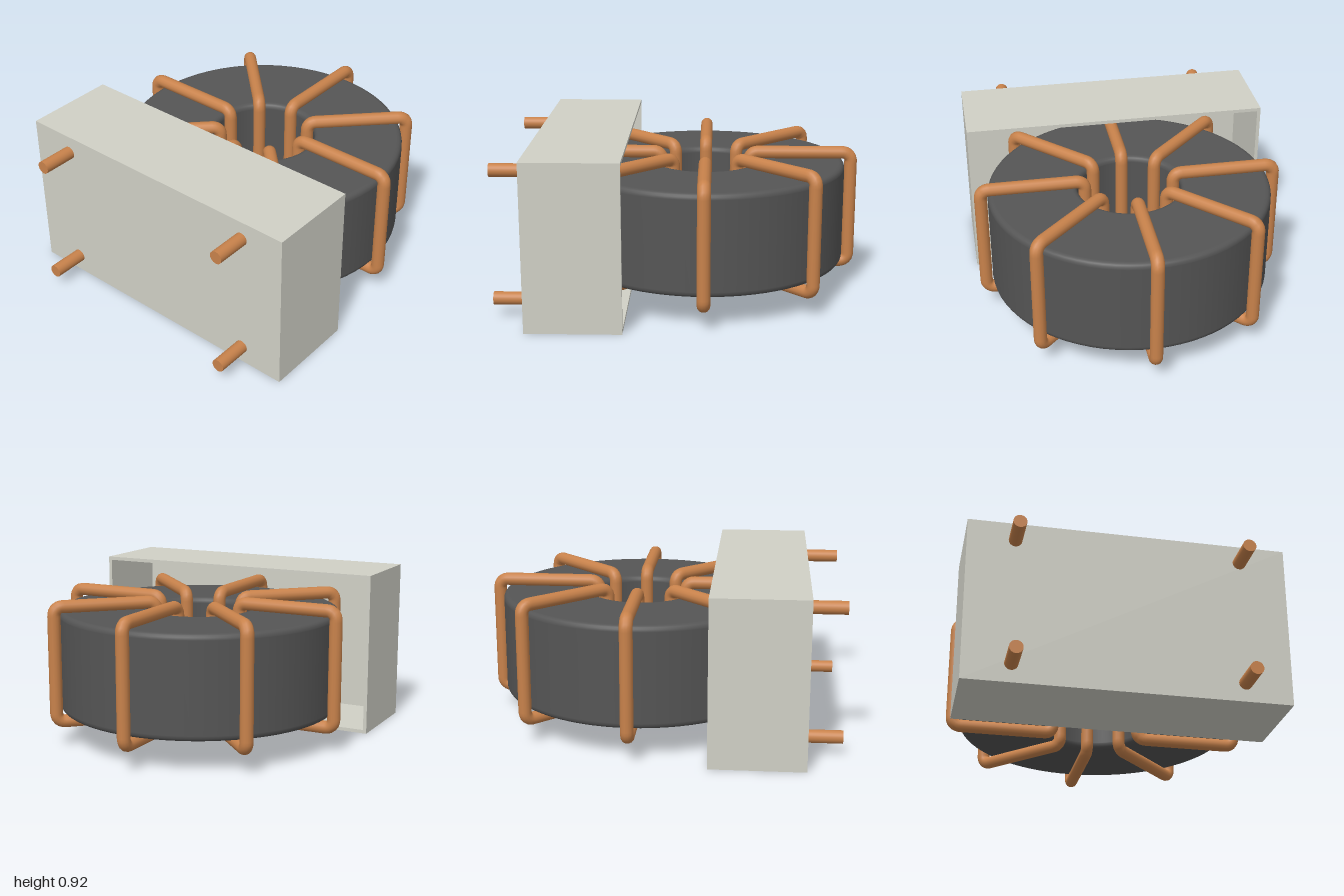
import * as THREE from 'three';

const copper = new THREE.MeshStandardMaterial({ color: 0xc8824b });
const ferrite = new THREE.MeshStandardMaterial({ color: 0x555555 });
const plastic = new THREE.MeshStandardMaterial({ color: 0xd0d0c6 });

// Closed outline of a rectangle with round corners, counter-clockwise
function roundedRect(x0, y0, x1, y1, r, steps) {
  const pts = [];
  const corners = [[x1 - r, y0 + r, -90], [x1 - r, y1 - r, 0], [x0 + r, y1 - r, 90], [x0 + r, y0 + r, 180]];
  const e = 0.004; // extra point on each side of an arc keeps the flats shaded flat
  for (const [cx, cy, start] of corners) {
    const a0 = THREE.MathUtils.degToRad(start), a1 = a0 + Math.PI / 2;
    const at = a => new THREE.Vector2(cx + r * Math.cos(a), cy + r * Math.sin(a));
    pts.push(at(a0).add(new THREE.Vector2(Math.sin(a0), -Math.cos(a0)).multiplyScalar(e)));
    for (let i = 0; i <= steps; i++) pts.push(at(a0 + (a1 - a0) * i / steps));
    pts.push(at(a1).add(new THREE.Vector2(-Math.sin(a1), Math.cos(a1)).multiplyScalar(e)));
  }
  pts.push(pts[0].clone());
  return pts;
}

function add(parent, name, geometry, material, x = 0, y = 0, z = 0) {
  const mesh = new THREE.Mesh(geometry, material);
  mesh.name = name;
  mesh.position.set(x, y, z);
  parent.add(mesh);
  return mesh;
}

export function createModel() {
  const model = new THREE.Group();
  model.name = 'toroidalInductor';

  // Ring core lying flat, with its windings
  const coil = new THREE.Group();
  coil.name = 'coil';
  coil.position.set(0, 0.46, -0.135);
  model.add(coil);
  add(coil, 'core', new THREE.LatheGeometry(roundedRect(0.29, -0.282, 0.79, 0.282, 0.028, 4), 72), ferrite);

  // Eight wire loops around the core section
  const path = new THREE.CurvePath();
  const outline = roundedRect(0.25, -0.323, 0.829, 0.323, 0.045, 5)
    .map(p => new THREE.Vector3(p.x, p.y, 0));
  for (let i = 0; i < outline.length - 1; i++) path.add(new THREE.LineCurve3(outline[i], outline[i + 1]));
  const loop = new THREE.TubeGeometry(path, 180, 0.036, 14, true);
  for (let i = 0; i < 8; i++) {
    add(coil, 'winding', loop, copper).rotation.y = i * Math.PI / 4;
  }

  // Housing: four walls open to the rear, closed by a front panel
  const w = 0.865, h = 0.92, t = 0.02;
  const housing = new THREE.Group();
  housing.name = 'housing';
  model.add(housing);
  const frame = new THREE.Shape([[-w, 0], [w, 0], [w, h], [-w, h]].map(p => new THREE.Vector2(...p)));
  frame.holes.push(new THREE.Path(
    [[-w + t, t], [-w + t, h - t], [w - t, h - t], [w - t, t]].map(p => new THREE.Vector2(...p))));
  add(housing, 'walls', new THREE.ExtrudeGeometry(frame, { depth: 0.5, bevelEnabled: false }), plastic, 0, 0, 0.287);
  add(housing, 'frontPanel', new THREE.BoxGeometry(2 * w, h, t), plastic, 0, h / 2, 0.797);

  // Four terminal pins
  const pin = new THREE.CylinderGeometry(0.036, 0.036, 0.21, 24).rotateX(Math.PI / 2);
  for (const x of [-0.61, 0.61]) {
    for (const y of [0.104, 0.818]) add(model, 'pin', pin, copper, x, y, 0.895);
  }
  return model;
}
